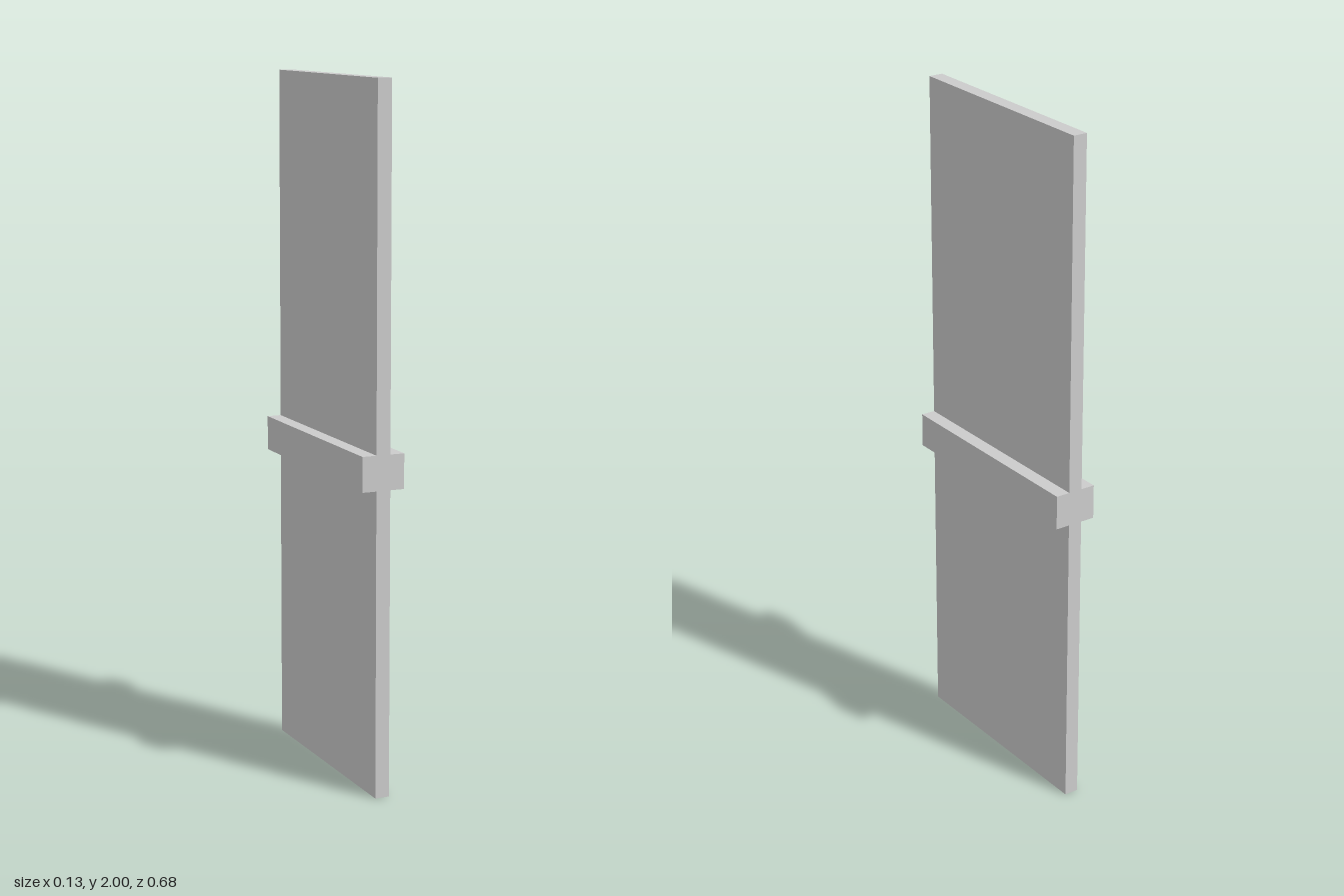
import * as THREE from 'three';

const HEIGHT = 2, DEPTH = 0.676;
const PANEL_HALF = 0.021, RAIL_HALF = 0.063;
const RAIL_BOTTOM = 0.88, RAIL_TOP = 0.98;

export function createModel() {
  const group = new THREE.Group();
  group.name = 'panelWithRail';

  // Right half of the end profile: thin panel with a rail standing out of it
  const half = [
    [PANEL_HALF, 0],
    [PANEL_HALF, RAIL_BOTTOM],
    [RAIL_HALF, RAIL_BOTTOM],
    [RAIL_HALF, RAIL_TOP],
    [PANEL_HALF, RAIL_TOP],
    [PANEL_HALF, HEIGHT],
  ];
  // Mirror it to close the cross-shaped outline
  const mirrored = half.map(([x, y]) => [-x, y]).reverse();
  const outline = [...half, ...mirrored].map(([x, y]) => new THREE.Vector2(x, y));

  // One seamless solid, running the full depth
  const geometry = new THREE.ExtrudeGeometry(new THREE.Shape(outline), {
    depth: DEPTH,
    bevelEnabled: false,
  });
  geometry.translate(0, 0, -DEPTH / 2);

  const panel = new THREE.Mesh(
    geometry,
    new THREE.MeshStandardMaterial({ color: 0xcccccc, flatShading: true })
  );
  panel.name = 'panelAndCrossRail';
  group.add(panel);
  return group;
}
